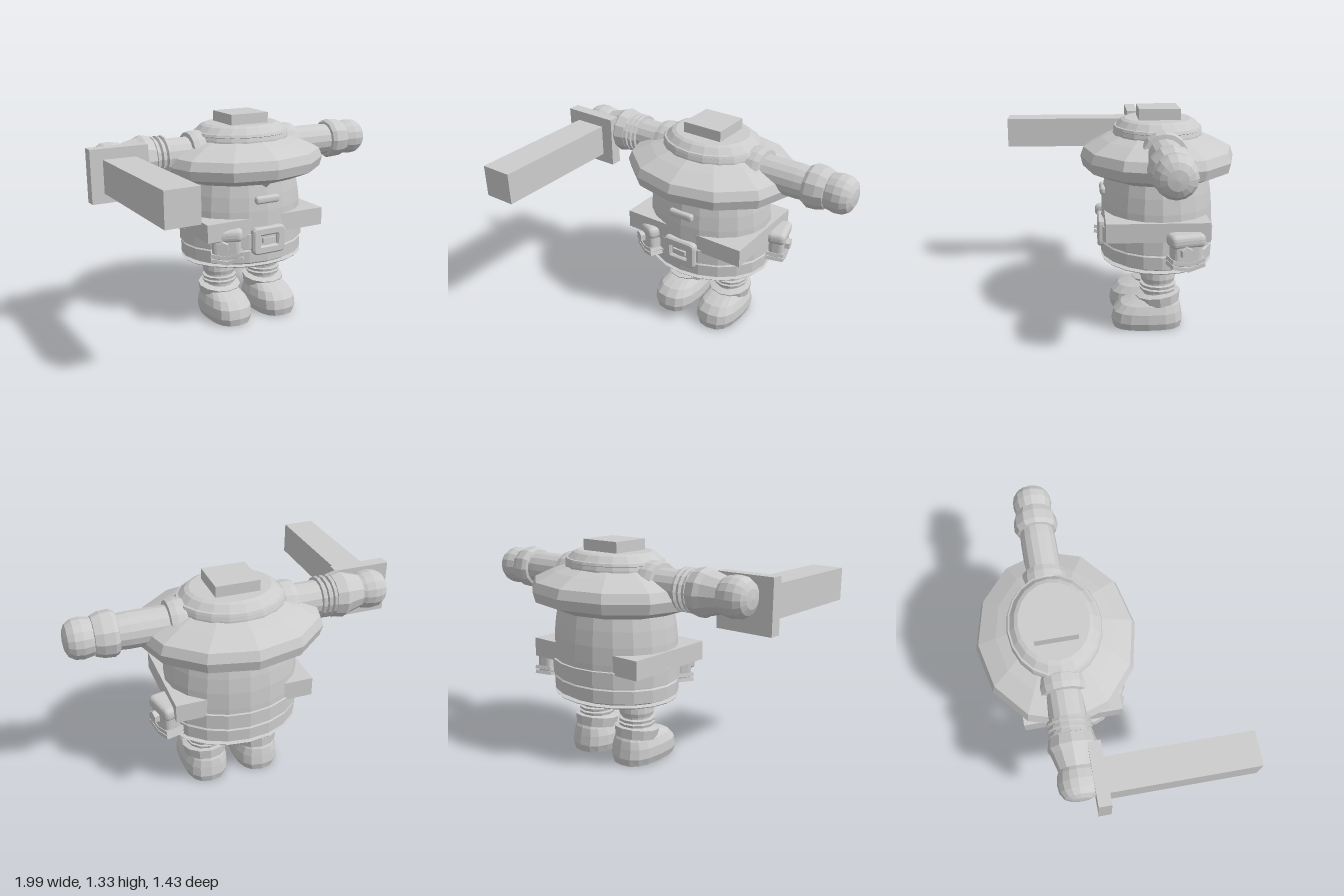
import * as THREE from 'three';
import { RoundedBoxGeometry } from 'three/addons/geometries/RoundedBoxGeometry.js';

const CX = 0.04, CZ = -0.255, WIDE = 1.18;

export function createModel() {
  const model = new THREE.Group();
  const grey = new THREE.MeshStandardMaterial({ color: 0xcccccc, flatShading: true });
  grey.name = 'light grey';

  const add = (name, geometry, parent = model) => {
    const mesh = new THREE.Mesh(geometry, grey);
    mesh.name = name;
    parent.add(mesh);
    return mesh;
  };
  const lathe = (profile, sides) =>
    new THREE.LatheGeometry(profile.map(([r, y]) => new THREE.Vector2(r, y)), sides);
  // Box given by its limits
  const box = (name, x0, x1, y0, y1, z0, z1) =>
    add(name, new THREE.BoxGeometry(x1 - x0, y1 - y0, z1 - z0)
      .translate((x0 + x1) / 2, (y0 + y1) / 2, (z0 + z1) / 2));
  // Oval turned part around the body axis
  const oval = (name, profile, sides) =>
    add(name, lathe(profile, sides).scale(WIDE, 1, 1).translate(CX, 0, CZ));

  // Torso
  oval('torso', [[0, 0.385], [0.17, 0.39], [0.26, 0.405], [0.315, 0.44], [0.332, 0.46], [0.338, 0.56],
    [0.34, 0.68], [0.337, 0.78], [0.328, 0.87], [0.315, 0.95]], 20);
  oval('hemSkirt', [[0.25, 0.422], [0.34, 0.427], [0.345, 0.433], [0.3, 0.44]], 20);
  oval('hemBand', [[0.32, 0.45], [0.342, 0.455], [0.344, 0.53], [0.335, 0.54]], 20);
  oval('waistBand', [[0.33, 0.545], [0.35, 0.55], [0.35, 0.64], [0.33, 0.645]], 20);
  box('beltBlock', -0.37, 0.455, 0.627, 0.74, -0.53, 0.07);

  // Wide shoulder ring and collar
  oval('shoulderRing', [[0.28, 0.942], [0.325, 0.942], [0.45, 0.995], [0.465, 1.055], [0.445, 1.11],
    [0.34, 1.165], [0.25, 1.2]], 12);
  oval('collar', [[0.27, 1.16], [0.268, 1.2], [0.258, 1.235], [0.222, 1.275], [0.2, 1.285], [0, 1.285]], 20);
  oval('collarRim', [[0.25, 1.215], [0.268, 1.225], [0.262, 1.24], [0.24, 1.245]], 20);
  box('neckBlock', -0.09, 0.17, 1.27, 1.35, -0.38, -0.135);

  // Chest badge and throat clasp
  add('chestBadge', new RoundedBoxGeometry(0.17, 0.05, 0.04, 2, 0.018).translate(CX, 0.85, 0.075));
  add('throatClasp', new THREE.ConeGeometry(0.06, 0.05, 4).rotateX(Math.PI).translate(CX, 0.93, 0.045));

  // Belt buckle: rounded frame with a raised centre
  const roundRect = (P, w, h, r) => {
    const p = new P();
    p.moveTo(-w + r, -h); p.lineTo(w - r, -h); p.quadraticCurveTo(w, -h, w, -h + r);
    p.lineTo(w, h - r); p.quadraticCurveTo(w, h, w - r, h);
    p.lineTo(-w + r, h); p.quadraticCurveTo(-w, h, -w, h - r);
    p.lineTo(-w, -h + r); p.quadraticCurveTo(-w, -h, -w + r, -h);
    return p;
  };
  const frame = roundRect(THREE.Shape, 0.105, 0.077, 0.025);
  frame.holes.push(roundRect(THREE.Path, 0.068, 0.042, 0.012));
  add('buckleFrame', new THREE.ExtrudeGeometry(frame, {
    depth: 0.04, bevelEnabled: true, bevelSize: 0.01, bevelThickness: 0.01, bevelSegments: 1, curveSegments: 3,
  }).translate(CX, 0.595, 0.06));
  add('bucklePlate', new THREE.BoxGeometry(0.15, 0.1, 0.04).translate(CX, 0.595, 0.07));
  add('buckleBar', new THREE.BoxGeometry(0.09, 0.03, 0.02).translate(CX, 0.595, 0.095));

  // Pouches with flap, hexagonal stud and angled bottom trim
  const pouch = (name, x, z, turn, tilt) => {
    const g = new THREE.Group();
    g.name = name;
    add('pouchBody', new RoundedBoxGeometry(0.18, 0.17, 0.1, 2, 0.03).translate(0, -0.01, 0), g);
    add('pouchFlap', new RoundedBoxGeometry(0.21, 0.08, 0.12, 2, 0.03).translate(0, 0.06, 0), g);
    add('pouchStud', new THREE.CylinderGeometry(0.036, 0.04, 0.04, 6).rotateX(Math.PI / 2)
      .translate(-0.02, 0, 0.06), g);
    for (const s of [-1, 1]) for (const y of [-0.065, -0.095])
      add('pouchTrim', new THREE.BoxGeometry(0.105, 0.022, 0.11).rotateZ(s * 0.25).translate(s * 0.048, y, 0), g);
    g.position.set(x, 0.59, z);
    g.rotation.set(0, turn, tilt, 'YXZ');
    model.add(g);
  };
  pouch('frontPouch', -0.225, 0.03, -0.5, 0.06);
  pouch('sidePouch', 0.475, -0.385, Math.PI / 2 + 0.25, 0);

  // Arms run outward along x from the body axis
  const arm = (name, side, profile, sides = 16) =>
    add(name, lathe(profile, sides).rotateZ(-side * Math.PI / 2).translate(CX, 1.115, -0.265));
  for (const side of [1, -1]) {
    const n = side > 0 ? 'left' : 'right';
    arm(n + 'ShoulderCuff', side, [[0.1, 0.265], [0.13, 0.27], [0.138, 0.295], [0.138, 0.34], [0.13, 0.375], [0.1, 0.38]]);
    arm(n + 'Sleeve', side, [[0.105, 0.2], [0.105, 0.6], [0.098, 0.7]]);
  }
  const hand = [[0.09, 0.76], [0.108, 0.8], [0.117, 0.85], [0.112, 0.895], [0.09, 0.93], [0.055, 0.947], [0, 0.953]];
  arm('leftCuff', 1, [[0.1, 0.655], [0.118, 0.66], [0.132, 0.685], [0.128, 0.745], [0.112, 0.79], [0.09, 0.8]], 12);
  arm('leftHand', 1, hand);
  for (const x of [0.525, 0.56, 0.595])
    arm('rightCuffRing', -1, [[0.1, x], [0.122, x + 0.003], [0.126, x + 0.02], [0.11, x + 0.028]]);
  arm('rightCuff', -1, [[0.1, 0.61], [0.126, 0.62], [0.14, 0.68], [0.125, 0.71], [0.1, 0.8]], 12);
  arm('rightHand', -1, hand.map(([r, x]) => [r, x + 0.02]));

  // Held bar with its square guard
  box('barGuard', -1, -0.65, 0.91, 1.225, -0.187, -0.115);
  box('heldBar', -0.925, -0.728, 0.967, 1.162, -0.12, 0.715);

  // Boot rows: height, half width, back z, front z
  const rows = [[0.025, 0, -0.2, -0.2], [0.025, 0.125, -0.4, 0.02], [0.07, 0.142, -0.41, 0.03],
    [0.13, 0.14, -0.4, 0.018], [0.175, 0.122, -0.39, -0.025], [0.2, 0.105, -0.375, -0.09],
    [0.215, 0.1, -0.365, -0.14], [0.22, 0, -0.25, -0.25]];
  const bootGeometry = () => {
    const g = lathe(rows.map(r => [1, r[0]]), 16);
    const p = g.attributes.position;
    const soft = v => Math.sign(v) * Math.abs(v) ** 0.75;
    for (let i = 0; i < p.count; i++) {
      const [, w, back, front] = rows[i % rows.length];
      p.setX(i, soft(p.getX(i)) * w);
      p.setZ(i, (front + back) / 2 + soft(p.getZ(i)) * (front - back) / 2);
    }
    g.computeVertexNormals();
    return g;
  };

  // Legs
  for (const side of [1, -1]) {
    const leg = new THREE.Group();
    leg.name = side > 0 ? 'leftLeg' : 'rightLeg';
    leg.position.x = CX + side * 0.167;
    model.add(leg);
    add('trouser', lathe([[0.08, 0.31], [0.1, 0.315], [0.107, 0.34], [0.1, 0.44]], 16).translate(0, 0, -0.255), leg);
    add('shin', lathe([[0.09, 0.2], [0.09, 0.34]], 16).translate(0, 0, -0.255), leg);
    for (const y of [0.25, 0.277])
      add('ankleRing', lathe([[0.08, y], [0.108, y + 0.003], [0.112, y + 0.02], [0.08, y + 0.025]], 12)
        .translate(0, 0, -0.255), leg);
    const cuff = lathe([[0.1, -0.04], [0.128, -0.035], [0.138, 0.025], [0.08, 0.035]], 12);
    add('bootCuff', cuff.rotateX(0.14).translate(0, 0.21, -0.258), leg);
    add('boot', bootGeometry(), leg);
  }
  return model;
}
